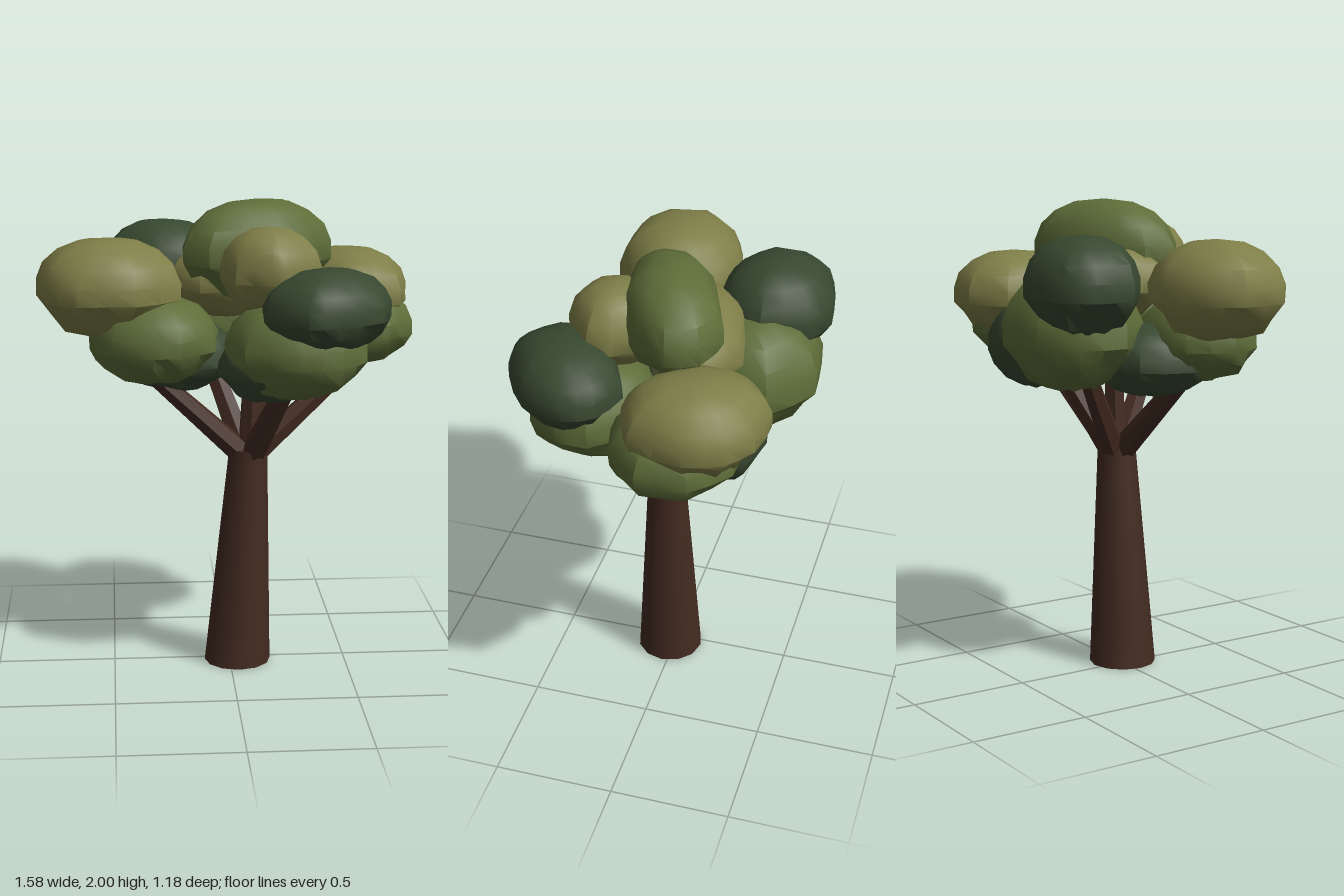
import * as THREE from 'three';
import { mergeVertices, toCreasedNormals } from 'three/addons/utils/BufferGeometryUtils.js';

const mat = (color) => new THREE.MeshStandardMaterial({ color });
const bark = mat(0x432b21);
const leaf = { light: mat(0x7e7e48), mid: mat(0x5e6d39), dark: mat(0x384830) };

// Small seeded generator
function seeded(seed) {
  let s = seed * 7919 + 17;
  return () => (s = (s * 16807) % 2147483647) / 2147483647;
}

// Lumpy leaf cluster: a nine-cornered oval plan, smooth dome above, rough underside
function clusterGeometry(long, short, bottom, top, seed) {
  const rand = seeded(seed);
  const corners = Array.from({ length: 9 }, (_, i) => {
    const a = -((i + (rand() - 0.5) * 0.5) / 9) * Math.PI * 2 + Math.PI;
    const r = 0.98 + rand() * 0.06;
    return new THREE.Vector2(long * r * Math.cos(a), short * r * Math.sin(a));
  });
  // Corners plus slightly bulged edge midpoints
  const ring = corners.flatMap((c, i) => [
    c, c.clone().add(corners[(i + 1) % 9]).multiplyScalar(0.51),
  ]);
  const m = ring.length, rows = 9;
  const geo = new THREE.SphereGeometry(1, m, rows);
  geo.deleteAttribute('normal');
  geo.deleteAttribute('uv');
  const pos = geo.attributes.position;
  const middle = bottom + 0.47 * (top - bottom);
  for (let row = 0; row <= rows; row++) {
    const a = (row / rows) * Math.PI;
    const up = Math.cos(a);
    const spread = row % rows === 0 ? 0 : Math.pow(Math.sin(a), 0.85);
    const rough = up < -0.3 ? 0.16 : 0.03;
    const noise = ring.map(() => [1 - rand() * rough, (rand() - 0.5) * rough]);
    for (let j = 0; j <= m; j++) {
      const [scale, lift] = noise[j % m];
      const c = ring[j % m];
      const y = middle + (up > 0 ? top - middle : middle - bottom) * (up + lift * spread);
      pos.setXYZ(row * (m + 1) + j, c.x * spread * scale, y, c.y * spread * scale);
    }
  }
  return toCreasedNormals(mergeVertices(geo, 1e-4), 0.65);
}

// Tapered limb between two points
function limb(from, to, r0, r1) {
  const dir = to.clone().sub(from);
  const geo = new THREE.CylinderGeometry(r1, r0, dir.length(), 6);
  const mesh = new THREE.Mesh(toCreasedNormals(geo, 0.6), bark);
  mesh.position.copy(from).addScaledVector(dir, 0.5);
  mesh.quaternion.setFromUnitVectors(new THREE.Vector3(0, 1, 0), dir.normalize());
  return mesh;
}

export function createModel() {
  const tree = new THREE.Group();
  tree.name = 'tree';

  // Trunk: tapered and leaning slightly to +x
  const height = 0.95;
  const trunkGeo = new THREE.CylinderGeometry(0.081, 0.142, height, 12, 6);
  trunkGeo.translate(0, height / 2, 0);
  const p = trunkGeo.attributes.position;
  for (let i = 0; i < p.count; i++) {
    const t = p.getY(i) / height;
    p.setX(i, p.getX(i) + 0.034 + 0.046 * t);
    p.setZ(i, p.getZ(i) + 0.024);
  }
  const trunk = new THREE.Mesh(toCreasedNormals(trunkGeo, 0.8), bark);
  trunk.name = 'trunk';
  tree.add(trunk);

  // Branches fanning out from the trunk top
  const branches = new THREE.Group();
  branches.name = 'branches';
  const tips = [
    [-0.38, 1.34, 0.1], [0.6, 1.36, -0.08], [0.25, 1.36, 0.33],
    [-0.11, 1.4, -0.28], [0.28, 1.4, -0.22], [0.1, 1.42, 0.02],
  ];
  for (const tip of tips) {
    const end = new THREE.Vector3(...tip);
    const start = new THREE.Vector3(0.08, 0.93, 0.025);
    const out = end.clone().sub(start).setY(0);
    start.addScaledVector(out, 0.03 / Math.max(out.length(), 0.1));
    const branch = limb(start, end, 0.054, 0.036);
    branch.name = 'branch';
    branches.add(branch);
  }
  tree.add(branches);

  // Leaf clusters: shade, x, z, long and short radius, turn, bottom, top
  const canopy = new THREE.Group();
  canopy.name = 'canopy';
  const clusters = [
    ['light', -0.5, 0.12, 0.305, 0.27, 0.1, 1.46, 1.86],
    ['light', 0.53, -0.22, 0.3, 0.26, 1.1, 1.41, 1.77],
    ['dark', 0.37, 0.35, 0.29, 0.23, -0.5, 1.43, 1.76],
    ['dark', -0.26, -0.35, 0.275, 0.24, 0.3, 1.48, 1.88],
    ['mid', 0.12, -0.01, 0.35, 0.21, -0.45, 1.58, 2],
    ['light', 0.15, 0.21, 0.21, 0.19, 0, 1.56, 1.91],
    ['light', 0.05, -0.08, 0.32, 0.23, -0.4, 1.5, 1.84],
    ['mid', -0.32, 0.16, 0.27, 0.24, 0, 1.27, 1.63],
    ['mid', 0.25, 0.27, 0.3, 0.27, 0, 1.22, 1.63],
    ['mid', 0.52, -0.14, 0.28, 0.26, 0.5, 1.28, 1.63],
    ['mid', -0.09, -0.31, 0.32, 0.28, -0.2, 1.24, 1.74],
    ['dark', 0.29, -0.23, 0.23, 0.22, 0, 1.2, 1.6],
    ['dark', -0.22, 0, 0.26, 0.25, 0, 1.21, 1.52],
    ['dark', 0.15, 0.23, 0.22, 0.21, 0, 1.2, 1.5],
  ];
  clusters.forEach(([shade, x, z, long, short, turn, bottom, top], i) => {
    const cluster = new THREE.Mesh(clusterGeometry(long, short, bottom, top, i + 1), leaf[shade]);
    cluster.position.set(x, 0, z);
    cluster.rotation.y = -turn;
    cluster.name = 'leafCluster';
    canopy.add(cluster);
  });
  tree.add(canopy);

  return tree;
}
